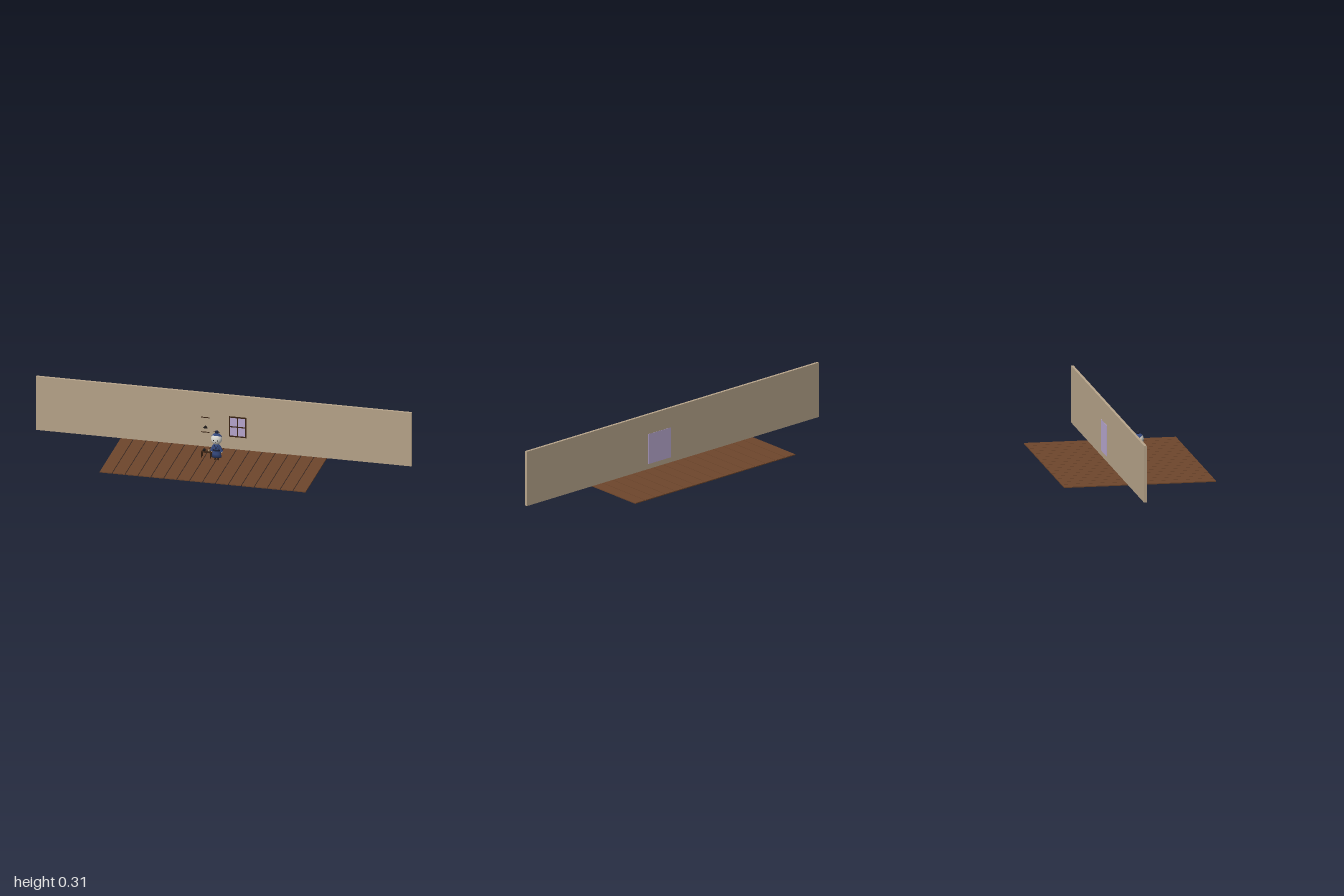
import * as THREE from 'three';

const material = (name, color, side = THREE.FrontSide) => {
  const m = new THREE.MeshStandardMaterial({ color, side });
  m.name = name;
  return m;
};

export function createModel() {
  const plaster = material('plaster', 0xb8a58b);
  const wood = material('floor wood', 0x6e462c);
  const darkWood = material('dark wood', 0x3a2414);
  const glass = material('lilac glass', 0xb9a8d0);
  const cloth = material('blue cloth', 0x34487c, THREE.DoubleSide);
  const navy = material('navy trim', 0x1c2238);
  const skin = material('pale skin', 0xd8d6cf);
  const ink = material('ink', 0x1e1a1a);
  const cream = material('cream', 0xcdb88e, THREE.DoubleSide);

  const model = new THREE.Group();
  model.name = 'room';
  const group = (name, x = 0, y = 0, z = 0) => {
    const g = new THREE.Group();
    g.name = name;
    g.position.set(x, y, z);
    model.add(g);
    return g;
  };
  const add = (parent, name, geometry, mat, x = 0, y = 0, z = 0) => {
    const mesh = new THREE.Mesh(geometry, mat);
    mesh.name = name;
    mesh.position.set(x, y, z);
    parent.add(mesh);
    return mesh;
  };
  const box = (parent, name, mat, w, h, d, x, y, z) =>
    add(parent, name, new THREE.BoxGeometry(w, h, d), mat, x, y, z);
  const lathe = (points) => new THREE.LatheGeometry(points.map((p) => new THREE.Vector2(...p)), 24);

  // Floor of long boards with narrow gaps
  const floor = group('floor');
  const pitch = 1.1 / 16;
  for (let i = 0; i < 16; i++)
    box(floor, 'floorBoard', wood, pitch - 0.004, 0.005, 0.8, -0.55 + pitch * (i + 0.5), 0.0025, 0);

  // Wall
  box(model, 'wall', plaster, 2, 0.3, 0.014, 0, 0.155, -0.059);

  // Window: panes, frame and cross bars
  const win = group('window', 0.075, 0.131, -0.051);
  box(win, 'panes', glass, 0.088, 0.108, 0.002, 0, 0, 0);
  for (const s of [-1, 1]) {
    box(win, 'frameSide', darkWood, 0.007, 0.114, 0.004, s * 0.043, 0, 0);
    box(win, 'frameRail', darkWood, 0.093, 0.007, 0.004, 0, s * 0.0535, 0);
  }
  box(win, 'uprightBar', darkWood, 0.006, 0.108, 0.004, 0, 0, 0);
  box(win, 'crossBar', darkWood, 0.09, 0.006, 0.004, 0, 0, 0);
  box(model, 'rearPane', glass, 0.155, 0.165, 0.002, 0.092, 0.115, -0.0662);

  // Hanging scroll with a small painted mountain
  const scroll = group('scroll', -0.098, 0.127, -0.051);
  box(scroll, 'paper', plaster, 0.038, 0.08, 0.001, 0, 0, 0);
  for (const s of [-1, 1]) {
    const rod = add(scroll, 'rod', new THREE.CylinderGeometry(0.0025, 0.0025, 0.045, 10), darkWood, 0, s * 0.041, 0);
    rod.rotation.z = Math.PI / 2;
  }
  const peak = new THREE.Shape([[-0.013, -0.02], [0.013, -0.02], [0.009, -0.009], [0.002, -0.002], [-0.006, -0.011]]
    .map((p) => new THREE.Vector2(...p)));
  add(scroll, 'paintedMountain', new THREE.ShapeGeometry(peak), ink, 0, 0, 0.001);

  // Little table with tea things
  const table = group('table', -0.058, 0, 0.083);
  box(table, 'tableTop', darkWood, 0.054, 0.003, 0.026, 0, 0.0355, 0);
  for (const x of [-1, 1]) for (const z of [-1, 1])
    box(table, 'tableLeg', darkWood, 0.003, 0.03, 0.003, x * 0.024, 0.02, z * 0.011);
  add(table, 'teapot', new THREE.SphereGeometry(0.008, 16, 12), ink, -0.012, 0.045, 0);
  add(table, 'teapotLid', new THREE.SphereGeometry(0.0025, 10, 8), ink, -0.012, 0.054, 0);
  const spout = add(table, 'teapotSpout', new THREE.CylinderGeometry(0.001, 0.002, 0.009, 8), ink, -0.002, 0.048, 0);
  spout.rotation.z = -0.8;
  add(table, 'cup', lathe([[0, 0], [0.003, 0], [0.0045, 0.008]]), cream, 0.012, 0.037, -0.004);

  // Figure: legs, robe and sash
  const figure = group('figure', 0, 0, 0.1);
  for (const s of [-1, 1]) {
    add(figure, 'leg', new THREE.CylinderGeometry(0.0035, 0.0035, 0.02, 12), darkWood, s * 0.008, 0.015, 0);
    box(figure, 'sandal', darkWood, 0.009, 0.003, 0.014, s * 0.008, 0.0065, 0.002);
  }
  const robe = add(figure, 'robe', lathe([[0, 0.02], [0.019, 0.02], [0.017, 0.04], [0.0145, 0.06],
    [0.0145, 0.075], [0.012, 0.088], [0, 0.095]]), cloth);
  robe.scale.x = 1.35;
  const hem = add(figure, 'hem', new THREE.CylinderGeometry(0.0192, 0.0194, 0.003, 24), navy, 0, 0.0215, 0);
  hem.scale.x = 1.35;
  const sash = add(figure, 'sash', new THREE.CylinderGeometry(0.0158, 0.0165, 0.009, 24), navy, 0, 0.061, 0);
  sash.scale.x = 1.25;
  box(figure, 'sashBow', navy, 0.018, 0.012, 0.005, 0, 0.061, -0.0175);

  // Sleeves and hands
  for (const s of [-1, 1]) {
    const sleeve = add(figure, 'sleeve', new THREE.CylinderGeometry(0.005, 0.009, 0.032, 16), cloth, s * 0.021, 0.068, 0);
    sleeve.rotation.z = s * 0.3;
    add(figure, 'hand', new THREE.SphereGeometry(0.0045, 12, 8), skin, s * 0.027, 0.05, 0);
    const collar = box(figure, 'collar', navy, 0.003, 0.022, 0.002, s * 0.005, 0.08, 0.0135);
    collar.rotation.z = -s * 0.4;
  }

  // Head with tilted cap of hair, bun and hairpin
  const head = group('head', 0, 0.121, 0.1);
  head.scale.set(0.029, 0.0305, 0.025);
  add(head, 'face', new THREE.SphereGeometry(1, 32, 24), skin);
  const cap = add(head, 'hairCap', new THREE.SphereGeometry(1.03, 32, 12, 0, Math.PI * 2, 0, 1.18), cloth);
  cap.rotation.x = -0.45;
  for (const s of [-1, 1]) {
    const eye = add(head, 'eye', new THREE.SphereGeometry(0.1, 12, 8), ink, s * 0.36, -0.05, 0.93);
    eye.scale.z = 0.3;
  }
  box(head, 'mouth', ink, 0.18, 0.04, 0.04, 0, -0.42, 0.91);
  add(figure, 'bun', new THREE.SphereGeometry(0.0095, 20, 14), navy, 0, 0.157, -0.003);
  const pin = add(figure, 'hairpin', new THREE.CylinderGeometry(0.001, 0.001, 0.034, 8), darkWood, 0, 0.158, -0.003);
  pin.rotation.z = Math.PI / 2;

  return model;
}
